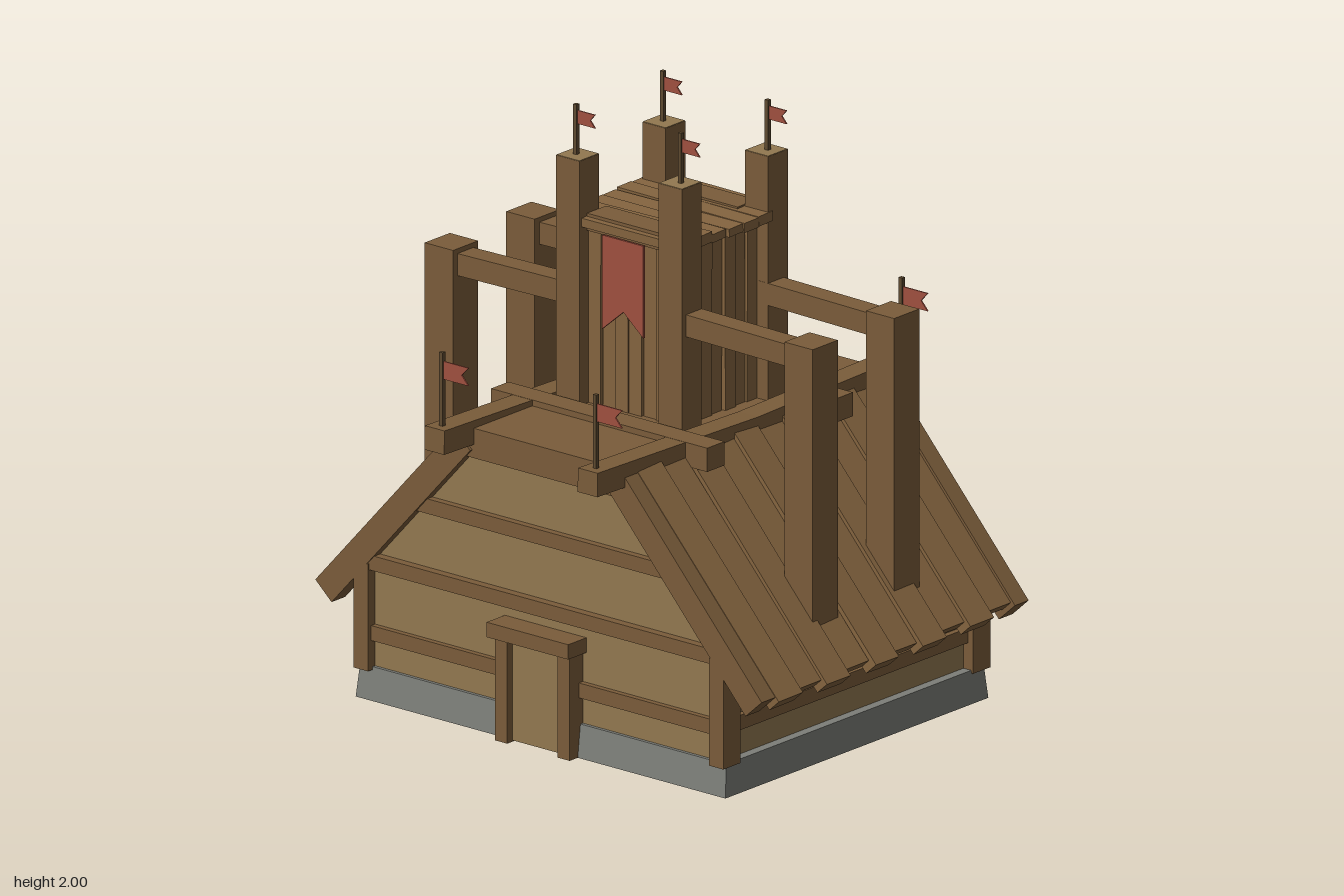
import * as THREE from 'three';

const mat = (color) => new THREE.MeshStandardMaterial({ color, flatShading: true, side: THREE.DoubleSide });
const beamMat = mat(0x7a5c3a), wallMat = mat(0x927850), plankMat = mat(0x84643f);
const stoneMat = mat(0x7c7e78), clothMat = mat(0xa0503f), poleMat = mat(0x5e4a30);

// Small repeatable noise in -1..1
let seed = 7;
const jitter = (amount) => {
  seed = (seed * 16807) % 2147483647;
  return (seed / 2147483647 * 2 - 1) * amount;
};

// Box given by its extents on each axis
function box(parent, name, material, [x0, x1], [y0, y1], [z0, z1]) {
  const mesh = new THREE.Mesh(new THREE.BoxGeometry(x1 - x0, y1 - y0, z1 - z0), material);
  mesh.position.set((x0 + x1) / 2, (y0 + y1) / 2, (z0 + z1) / 2);
  mesh.name = name;
  parent.add(mesh);
  return mesh;
}

// Extents mirrored to the given side
const side = (s, a, b) => (s > 0 ? [a, b] : [-b, -a]);

// Flat outline extruded along z, centred on z
function slab(parent, name, material, points, depth, z = 0) {
  const shape = new THREE.Shape(points.map(([x, y]) => new THREE.Vector2(x, y)));
  const geo = new THREE.ExtrudeGeometry(shape, { depth, bevelEnabled: false });
  const mesh = new THREE.Mesh(geo.translate(0, 0, z - depth / 2), material);
  mesh.name = name;
  parent.add(mesh);
  return mesh;
}

// Thin pole with a swallow-tailed pennant flying to +x
function flag(parent, x, y, z, height, length, width, drop) {
  const g = new THREE.Group();
  g.name = 'flag';
  g.position.set(x, y, z);
  box(g, 'flagPole', poleMat, [-0.007, 0.007], [-0.03, height], [-0.007, 0.007]);
  const t = height - drop, b = t - width;
  slab(g, 'pennant', clothMat,
    [[0, b], [length, b], [length * 0.75, (t + b) / 2], [length, t], [0, t]], 0.005);
  parent.add(g);
}

function buildHouse() {
  const g = new THREE.Group();
  g.name = 'house';
  // Stone footing, slightly narrower at the top
  const base = box(g, 'stoneBase', stoneMat, [-0.77, 0.77], [0, 0.11], [-0.645, 0.645]);
  const p = base.geometry.attributes.position;
  for (let i = 0; i < p.count; i++) {
    if (p.getY(i) > 0) p.setXYZ(i, p.getX(i) * 0.99, p.getY(i), p.getZ(i) * 0.98);
  }
  base.geometry.computeVertexNormals();

  // Walls and gables as one body
  slab(g, 'walls', wallMat, [[-0.73, 0.1], [0.73, 0.1], [0.73, 0.5], [0.33, 0.94], [-0.33, 0.94], [-0.73, 0.5]], 1.24);
  box(g, 'ridgeDeck', beamMat, [-0.335, 0.335], [0.91, 1.01], [-0.645, 0.645]);

  for (const s of [-1, 1]) {
    // Corner posts and side rails
    for (const t of [-1, 1]) box(g, 'cornerPost', beamMat, side(t, 0.71, 0.77), [0.1, 0.46], side(s, 0.57, 0.655));
    box(g, 'sideRail', beamMat, side(s, 0.7, 0.75), [0.2, 0.25], [-0.6, 0.6]);
    box(g, 'eaveRail', beamMat, side(s, 0.7, 0.76), [0.4, 0.47], [-0.6, 0.6]);
    // Horizontal timbers on the gable end
    box(g, 'endRail', beamMat, [-0.73, 0.73], [0.2, 0.25], side(s, 0.6, 0.64));
    box(g, 'tieBeam', beamMat, [-0.77, 0.77], [0.44, 0.49], side(s, 0.6, 0.65));
    box(g, 'collarBeam', beamMat, [-0.56, 0.56], [0.68, 0.73], side(s, 0.6, 0.645));
    // Door with frame
    for (const t of [-1, 1]) box(g, 'doorPost', beamMat, side(t, 0.105, 0.155), [0, 0.36], side(s, 0.61, 0.685));
    box(g, 'doorLintel', beamMat, [-0.17, 0.17], [0.35, 0.4], side(s, 0.61, 0.71));
    if (s > 0) box(g, 'door', wallMat, [-0.11, 0.11], [0.005, 0.355], [0.61, 0.66]);
    else for (let i = 0; i < 4; i++) {
      const x = -0.11 + i * 0.055;
      box(g, 'doorBoard', plankMat, [x + 0.002, x + 0.053], [0.005, 0.355], [-0.665 + jitter(0.006), -0.61]);
    }
  }
  return g;
}

// One roof slope: local x runs down the slope, local y = 0 is its outer face
function buildRoofSlope() {
  const g = new THREE.Group();
  g.name = 'roofSlope';
  g.position.set(0.355, 1.0, 0);
  g.rotation.z = -Math.atan2(0.64, 0.58);
  for (const s of [-1, 1]) box(g, 'rafter', beamMat, [0, 0.86], [-0.095, -0.004], side(s, 0.588, 0.655));
  const w = 1.18 / 10;
  for (let i = 0; i < 10; i++) {
    const z = -0.59 + i * w, lift = (i % 2) * 0.012;
    const plank = box(g, 'roofPlank', plankMat, [0, 0.852 + (i % 2) * 0.025 + jitter(0.008)],
      [-0.055, -0.012 + lift], [z + 0.001, z + w - 0.001]);
    plank.rotation.y = jitter(0.006);
    plank.rotation.x = jitter(0.04);
  }
  return g;
}

function buildPlatform() {
  const g = new THREE.Group();
  g.name = 'platform';
  for (const s of [-1, 1]) {
    // Long beams rise a little toward their free ends
    for (const t of [-1, 1]) {
      const beam = box(g, 'longBeam', beamMat, side(s, 0.278, 0.36), [0.95, 1.03], side(t, 0, 0.79));
      beam.rotation.x = -t * 0.022;
      flag(g, s * 0.32, 1.035, t * 0.75, 0.25, 0.11, 0.06, 0.03);
    }
    box(g, 'crossBeam', beamMat, [-0.45, 0.45], [0.95, 1.03], side(s, 0.272, 0.358));
  }
  return g;
}

function buildTower() {
  const g = new THREE.Group();
  g.name = 'tower';
  box(g, 'towerCore', poleMat, [-0.185, 0.185], [0.95, 1.6], [-0.185, 0.185]);
  for (const s of [-1, 1]) {
    for (const t of [-1, 1]) {
      box(g, 'towerPost', beamMat, side(s, 0.165, 0.262), [0.95, 1.83], side(t, 0.163, 0.26));
      box(g, 'postTop', wallMat, side(s, 0.166, 0.261), [1.829, 1.832], side(t, 0.164, 0.259));
      flag(g, s * 0.218, 1.83, t * 0.213, 0.17, 0.08, 0.045, 0.02);
    }
    // Upright boards on all four sides
    for (let i = 0; i < 6; i++) {
      const a = -0.168 + i * 0.056, range = [a + 0.002, a + 0.054];
      const front = box(g, 'towerBoard', plankMat, range, [0.98, 1.6], side(s, 0.18, 0.21 + jitter(0.006)));
      front.rotation.z = jitter(0.005);
      const flank = box(g, 'towerBoard', plankMat, side(s, 0.18, 0.215 + jitter(0.006)), [0.98, 1.6], range);
      flank.rotation.x = jitter(0.005);
    }
    box(g, 'headBeam', beamMat, [-0.163, 0.163], [1.59, 1.648], side(s, 0.13, 0.225));
  }
  // Uneven roof boards
  for (let i = 0; i < 7; i++) {
    const z = -0.262 + i * 0.073;
    const board = box(g, 'towerRoofBoard', plankMat, [-0.265 + jitter(0.006), 0.26 + jitter(0.006)],
      [1.608, 1.64 + jitter(0.005)], [z + 0.002, z + 0.071]);
    board.rotation.set(jitter(0.05), jitter(0.015), jitter(0.01));
  }
  // Swallow-tailed banner on the front
  slab(g, 'banner', clothMat, [[-0.088, 1.595], [-0.088, 1.28], [0, 1.355], [0.083, 1.285], [0.083, 1.595]], 0.008, 0.235);
  return g;
}

function buildButtresses() {
  const g = new THREE.Group();
  g.name = 'buttresses';
  for (const s of [-1, 1]) for (const t of [-1, 1]) {
    box(g, 'outerPost', beamMat, side(s, 0.69, 0.808), [0.335, 1.415], side(t, 0.138, 0.262));
    const beam = box(g, 'bridgeBeam', beamMat, side(s, 0.22, 0.73), [1.328, 1.402], side(t, 0.162, 0.24));
    beam.rotation.z = -s * 0.015;
  }
  return g;
}

export function createModel() {
  const model = new THREE.Group();
  model.name = 'timberHall';
  const left = buildRoofSlope();
  // Second slope is the first kind turned half round
  const right = new THREE.Group();
  right.name = 'rightRoof';
  right.add(buildRoofSlope());
  right.rotation.y = Math.PI;
  model.add(buildHouse(), left, right, buildPlatform(), buildTower(), buildButtresses());
  return model;
}
